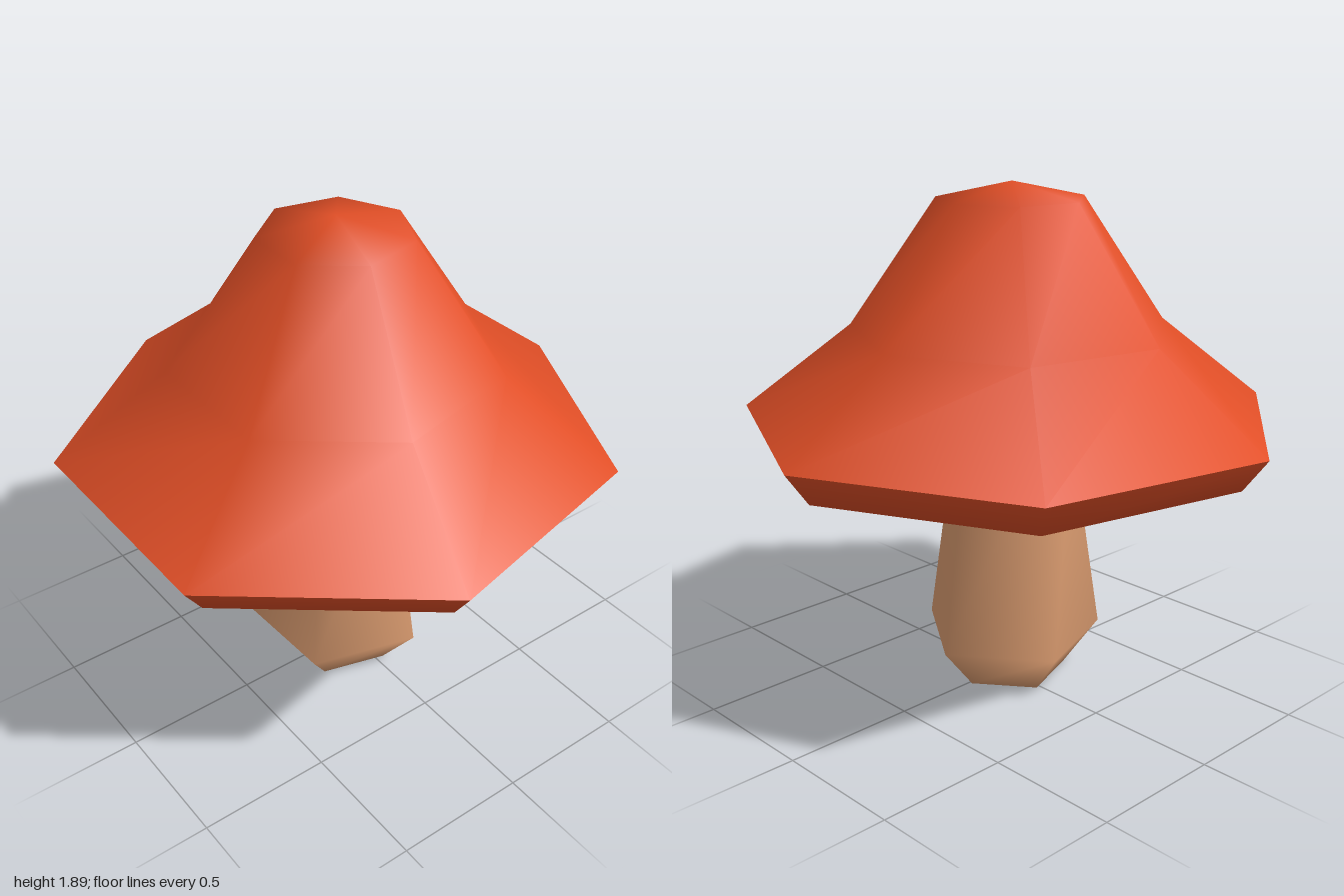
import * as THREE from 'three';

// Smooth faceted surface from [radius, y] rings listed bottom to top; radius 0 makes a pole.
function ringSurface(sides, turn, rings) {
  const positions = [], index = [], starts = [];
  for (const [r, y] of rings) {
    starts.push(positions.length / 3);
    const count = r === 0 ? 1 : sides;
    for (let j = 0; j < count; j++) {
      const a = turn + (j / sides) * Math.PI * 2;
      positions.push(r * Math.sin(a), y, r * Math.cos(a));
    }
  }
  const at = (i, j) => starts[i] + (rings[i][0] === 0 ? 0 : j % sides);
  for (let i = 0; i < rings.length - 1; i++) {
    for (let j = 0; j < sides; j++) {
      const a = at(i, j), b = at(i, j + 1), c = at(i + 1, j + 1), d = at(i + 1, j);
      if (a !== b) index.push(a, b, c);
      if (c !== d) index.push(a, c, d);
    }
  }
  const g = new THREE.BufferGeometry();
  g.setAttribute('position', new THREE.Float32BufferAttribute(positions, 3));
  g.setIndex(index);
  g.computeVertexNormals();
  return g;
}

function addPart(parent, name, geometry, material) {
  const mesh = new THREE.Mesh(geometry, material);
  mesh.name = name;
  parent.add(mesh);
  return mesh;
}

export function createModel() {
  const model = new THREE.Group();
  model.name = 'mushroom';
  const capRed = new THREE.MeshStandardMaterial({ color: 0xe04e26 });
  capRed.name = 'cap red';
  const stemTan = new THREE.MeshStandardMaterial({ color: 0xdb9c70 });
  stemTan.name = 'stem tan';

  // Seven-sided cap, split at the rim to keep that edge sharp
  const cap = new THREE.Group();
  cap.name = 'cap';
  cap.position.z = 0.05;
  model.add(cap);
  addPart(cap, 'capTop', ringSurface(7, Math.PI,
    [[1.025, 1.03], [0.605, 1.36], [0.277, 1.835], [0, 1.895]]), capRed);
  addPart(cap, 'capUnderside', ringSurface(7, Math.PI,
    [[0, 0.905], [0.933, 0.905], [1.025, 1.03]]), capRed);

  // Five-sided stem with a tapered foot, reaching into the cap
  const stem = addPart(model, 'stem', ringSurface(5, THREE.MathUtils.degToRad(38),
    [[0, 0], [0.213, 0], [0.352, 0.17], [0.235, 0.95]]), stemTan);
  stem.position.set(-0.005, 0, 0.042);

  return model;
}
